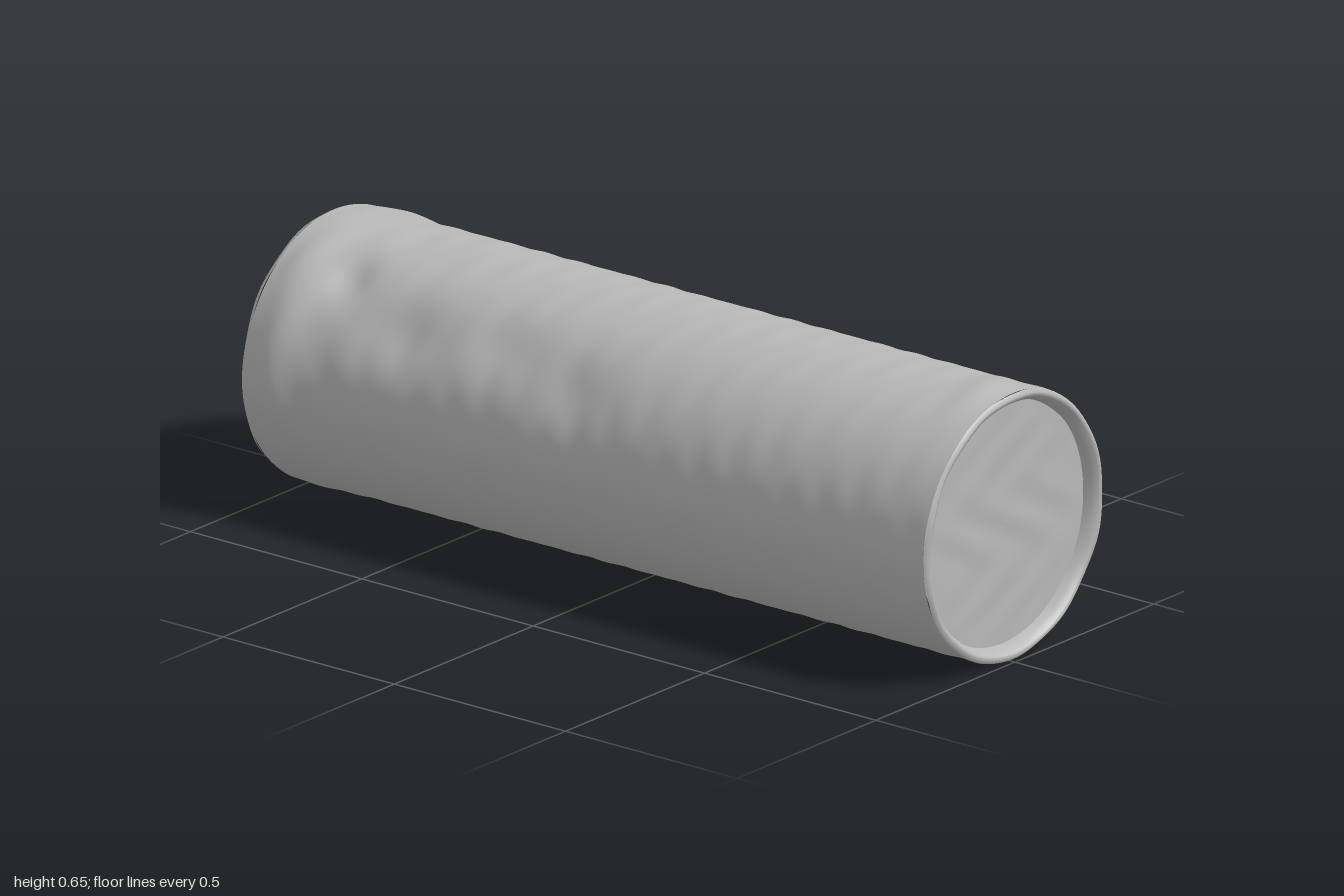
import * as THREE from 'three';

const RADIUS = 0.32, CENTRE_Y = 0.323, FRONT = 0.985, BACK = -0.985;
const deg = Math.PI / 180;
const step = THREE.MathUtils.smoothstep;
const gauss = (d, w) => Math.exp(-(d * d) / (w * w));

// Soft bulges (+) and dents (-): [z, angle, z width, angle width, height]; angle 0 is +x, 90 is up
const bumps = [
  [-0.9, 180, 0.07, 45, 0.03], [-0.92, 125, 0.05, 25, 0.01],
  [-0.9, 50, 0.06, 18, 0.014], [-0.88, 36, 0.03, 12, -0.02],
  [-0.78, 128, 0.05, 12, -0.02], [-0.58, 145, 0.12, 16, -0.022],
  [-0.3, 140, 0.1, 14, -0.014], [-0.08, 150, 0.09, 16, -0.016],
  [-0.68, -2, 0.12, 16, -0.012], [-0.02, 40, 0.08, 14, -0.02],
  [0.84, 15, 0.025, 9, -0.018], [0.91, 92, 0.05, 18, 0.01],
  [-0.7, 95, 0.1, 14, -0.006],
];

// Long crushed slot: sharp lower lip, flat floor, steep upper wall
function slot(a, z) {
  const upper = 55 + 3 * Math.sin(z * 8 + 1);
  const lower = 20 + 34 * step(-z, 0.72, 0.82);
  const across = step(a, lower, lower + 6) * (1 - step(a, upper - 8, upper));
  const along = step(-z, 0.06, 0.2) * (1 - step(-z, 0.72, 0.82));
  const pinch = 0.04 * gauss(z + 0.14, 0.035) * gauss(a - 44, 8);
  return Math.max(0, 0.1 * across * along - pinch);
}

// Outer radius of the tube at an angle and depth
function radiusAt(t, z) {
  const a = t / deg;
  let r = RADIUS - slot(a, z);
  for (const [bz, ba, wz, wa, h] of bumps) {
    const da = ((a - ba + 540) % 360) - 180;
    r += h * gauss(z - bz, wz) * gauss(da, wa);
  }
  // fine surface wrinkles
  r += 0.0012 * Math.sin(z * 61 + 2 * Math.sin(t * 3)) * Math.sin(t * 5 + z * 9);
  return r;
}

const point = (t, r, z) => [0.006 + 0.005 * z + r * Math.cos(t), CENTRE_Y + r * Math.sin(t), z];

// Closed-around surface: f(angle, v) gives a point, v runs from front to back
function surface(around, rows, f) {
  const pos = [], index = [];
  for (let j = 0; j <= rows; j++) {
    for (let i = 0; i < around; i++) pos.push(...f((i / around) * Math.PI * 2, j / rows));
  }
  for (let j = 0; j < rows; j++) {
    for (let i = 0; i < around; i++) {
      const n = (i + 1) % around;
      const a = j * around + i, b = a + around, c = j * around + n, d = c + around;
      index.push(a, b, c, c, b, d);
    }
  }
  const g = new THREE.BufferGeometry();
  g.setAttribute('position', new THREE.Float32BufferAttribute(pos, 3));
  g.setIndex(index);
  g.computeVertexNormals();
  return g;
}

// Ring swept through a few [radius share, z] profile points
function ringSurface(profile, endZ) {
  const rows = profile.length - 1;
  return surface(180, rows, (t, v) => {
    const [s, z] = profile[Math.round(v * rows)];
    return point(t, s * radiusAt(t, endZ), z + 0.003 * Math.sin(t * 7) * Math.sin(t * 3));
  });
}

export function createModel() {
  const group = new THREE.Group();
  const grey = new THREE.MeshStandardMaterial({ color: 0xb8b8b8 });
  grey.name = 'plain grey';
  const add = (name, geometry) => {
    const mesh = new THREE.Mesh(geometry, grey);
    mesh.name = name;
    group.add(mesh);
  };

  // Dented tube wall
  add('tubeBody', surface(180, 200, (t, v) => {
    const z = FRONT + (BACK - FRONT) * v;
    return point(t, radiusAt(t, z), z);
  }));

  // Front rim and the shallow recessed disc inside it
  add('frontRim', ringSurface([[0.9, 0.955], [0.915, 0.975], [0.945, 0.99], [0.975, 0.993], [1, FRONT]], FRONT));
  add('frontDisc', surface(96, 20, (t, s) => {
    const r = s * 0.91 * radiusAt(t, FRONT);
    const x = r * Math.cos(t), y = r * Math.sin(t);
    const ripple = 0.0025 * Math.sin(x * 31 + 2 * Math.sin(y * 17)) * Math.cos(y * 27);
    return point(t, r, 0.957 + ripple * (1 - s ** 4));
  }));

  // Thin back rim
  add('backRim', ringSurface([[1, BACK], [0.985, -0.995], [0.96, -0.997], [0.94, -0.985]], BACK));

  // Bowl-shaped back with an upright flat strip pressed into its floor
  add('backBowl', surface(128, 48, (t, v) => {
    const s = 1 - v, r = s * 0.945 * radiusAt(t, BACK);
    const x = Math.abs(r * Math.cos(t)), y = Math.abs(r * Math.sin(t));
    const bowl = 0.07 * (1 - s ** 3);
    const strip = 0.015 * (1 - step(x, 0.035, 0.06)) * (1 - step(y, 0.15, 0.18));
    const hollow = 0.02 * gauss(x, 0.1) * gauss(y - 0.2, 0.06) * (1 - s ** 6);
    return point(t, r, -0.987 + bowl + strip + hollow);
  }));

  return group;
}
